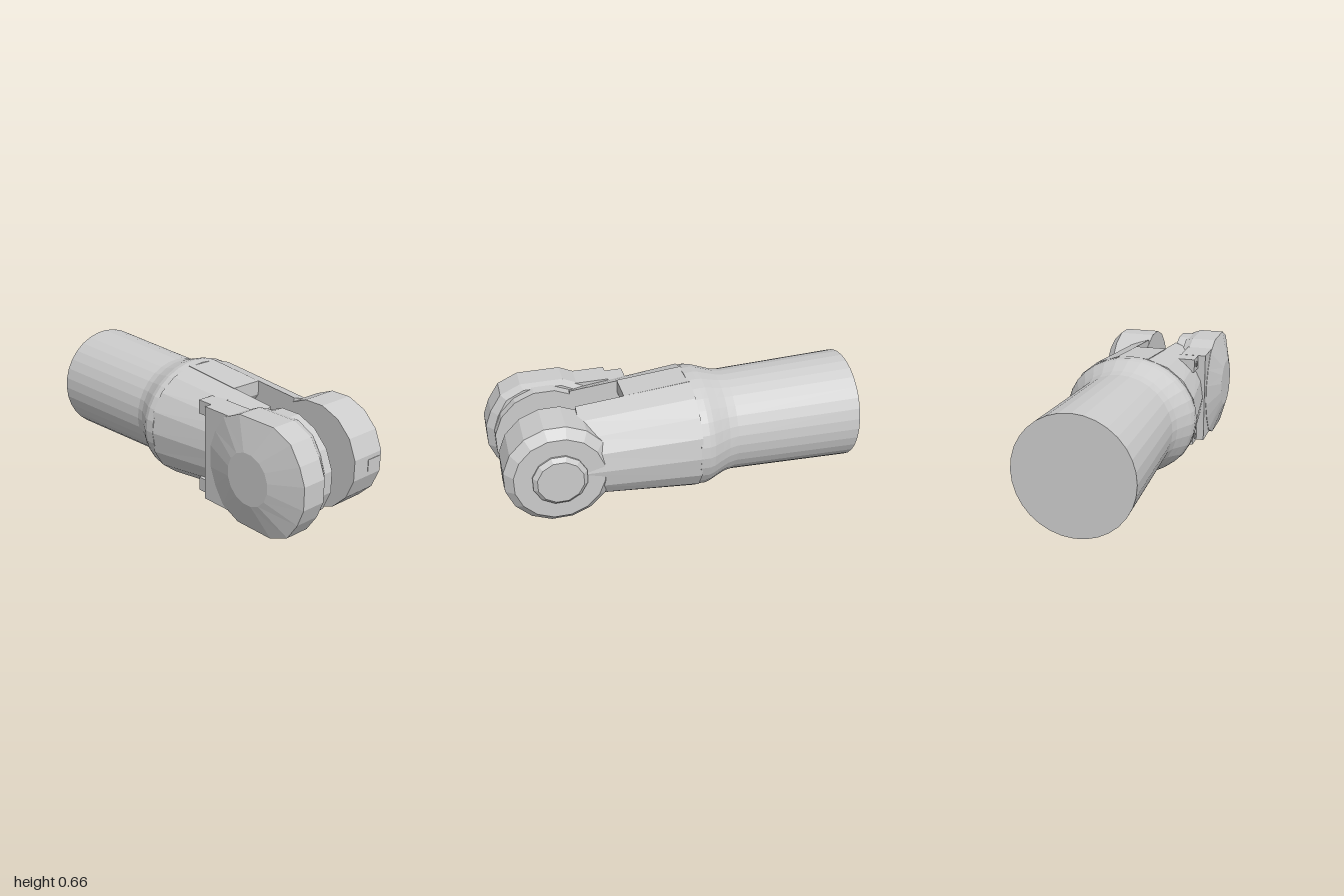
import * as THREE from 'three';

const CY = 0.333, CZ = -0.005;   // axis of the tube
const mat = new THREE.MeshStandardMaterial({ color: 0xcccccc, flatShading: true, side: THREE.DoubleSide });

// Closed solid through rings of equal point count, capped at both ends
function loft(rings) {
  const n = rings[0].length, pos = rings.flat(2), idx = [];
  for (let r = 0; r < rings.length - 1; r++) {
    for (let i = 0; i < n; i++) {
      const a = r * n + i, b = r * n + (i + 1) % n;
      idx.push(a, b, a + n, b, b + n, a + n);
    }
  }
  const last = (rings.length - 1) * n;
  for (let i = 1; i < n - 1; i++) {
    idx.push(0, i + 1, i);
    idx.push(last, last + i, last + i + 1);
  }
  // Turn the faces outward if the signed volume is negative
  const v = (i) => new THREE.Vector3().fromArray(pos, i * 3);
  let volume = 0;
  for (let i = 0; i < idx.length; i += 3) volume += v(idx[i]).dot(v(idx[i + 1]).cross(v(idx[i + 2])));
  if (volume < 0) idx.reverse();
  const g = new THREE.BufferGeometry();
  g.setAttribute('position', new THREE.Float32BufferAttribute(pos, 3));
  g.setIndex(idx);
  g.computeVertexNormals();
  return g;
}

// Faceted turned part on the z axis, from [radius, z] points
function turned(points, sides) {
  const profile = points.map(([r, z]) => new THREE.Vector2(r, z));
  return new THREE.LatheGeometry(profile, sides, Math.PI / sides).rotateX(Math.PI / 2);
}

export function createModel() {
  const model = new THREE.Group();
  const add = (name, geometry, x = 0, y = 0, z = 0) => {
    const mesh = new THREE.Mesh(geometry, mat);
    mesh.name = name;
    mesh.position.set(x, y, z);
    model.add(mesh);
    return mesh;
  };
  // Box given by its limits
  const addBox = (name, x0, x1, y0, y1, z0, z1) =>
    add(name, new THREE.BoxGeometry(x1 - x0, y1 - y0, z1 - z0), (x0 + x1) / 2, (y0 + y1) / 2, (z0 + z1) / 2);

  // Round tube with a flared collar: x, vertical radius, depth radius
  const tubeStations = [
    [-1, 0.307, 0.307], [-0.3, 0.285, 0.285], [-0.25, 0.292, 0.297], [-0.2, 0.307, 0.323],
    [-0.15, 0.323, 0.352], [-0.12, 0.328, 0.362], [-0.07, 0.324, 0.36],
  ];
  add('tube', loft(tubeStations.map(([x, ry, rz]) =>
    Array.from({ length: 32 }, (_, i) => {
      const a = (i / 32) * Math.PI * 2;
      return [x, CY + ry * Math.cos(a), CZ + rz * Math.sin(a)];
    }))));

  // Tapered fork halves, flat on the slot side
  function forkHalf(side, inner, endX, endDepth) {
    const rings = [0, 1].map((t) => {
      const x = THREE.MathUtils.lerp(-0.08, endX, t);
      const ry = THREE.MathUtils.lerp(0.325, 0.268, t);
      const rz = THREE.MathUtils.lerp(0.361, endDepth, t);
      const n = 2.15, start = Math.asin(Math.pow(inner / rz, n / 2));
      return Array.from({ length: 9 }, (_, i) => {
        const a = THREE.MathUtils.lerp(start, Math.PI - start, i / 8);
        const c = Math.cos(a);
        return [x,
          CY + 0.003 * t + Math.sign(c) * ry * Math.pow(Math.abs(c), 2 / n),
          CZ + side * rz * Math.pow(Math.sin(a), 2 / n)];
      });
    });
    return loft(rings);
  }
  add('rearForkBody', forkHalf(-1, 0.085, 0.54, 0.332));
  add('frontForkBody', forkHalf(1, 0.085, 0.54, 0.275));

  // Web between the halves, with a hollow end and an undercut below
  const web = new THREE.Shape([
    [-0.08, 0.653], [0.28, 0.62], [0.28, 0.545], [0.25, 0.5], [0.235, 0.455], [0.235, 0.38],
    [0.28, 0.29], [0.34, 0.22], [0.39, 0.175], [0.44, 0.14], [0.49, 0.115], [0.47, 0.09],
    [0, 0.09], [0, 0.018], [-0.08, 0.01],
  ].map(([x, y]) => new THREE.Vector2(x, y)));
  add('slotWeb', new THREE.ExtrudeGeometry(web, { depth: 0.175, bevelEnabled: false }), 0, 0, -0.09);

  // Rear knuckle with chamfered rim, hub and small key plate
  add('rearKnuckle', turned([[0, -0.336], [0.238, -0.336], [0.285, -0.29], [0.285, -0.088], [0, -0.088]], 16),
    0.675, 0.33, 0);
  add('rearHub', turned([[0, -0.366], [0.122, -0.366], [0.145, -0.345], [0.145, -0.32], [0, -0.32]], 12),
    0.675, 0.33, 0);
  addBox('keyPlate', 0.94, 0.957, 0.298, 0.362, -0.28, -0.192);

  // Front knuckle, its rounded cover and the dished face
  add('frontKnuckle', turned([[0, 0.08], [0.285, 0.08], [0.285, 0.15], [0, 0.15]], 16), 0.675, 0.33, 0);
  const quarter = [[0.32, 0.06], [0.285, 0.15], [0.225, 0.24], [0.115, 0.29]];
  const mirrored = quarter.slice().reverse().map(([x, y]) => [-x, y]);
  const half = [...quarter, ...mirrored];
  const outline = [...half, ...half.map(([x, y]) => [-x, -y])];
  const hub = outline.map((_, i) => {
    const a = ((i + 0.5) / 16) * Math.PI * 2;
    return [0.137 * Math.cos(a), 0.137 * Math.sin(a), 0.366];
  });
  const coverRing = (z, sx, sy) => outline.map(([x, y]) => [x * sx, y * sy, z]);
  add('frontCover', loft([
    coverRing(0.133, 0.875, 0.95), coverRing(0.178, 1, 1), coverRing(0.314, 1, 1), hub,
  ]), 0.675, 0.33, 0);
  addBox('coverPlate', 0.31, 0.6, 0.073, 0.586, 0.17, 0.312);

  // Fastening tabs with hexagonal screws
  for (const s of [-1, 1]) {
    const y = 0.33 + s * 0.218;
    addBox('fasteningTab', 0.215, 0.312, y - 0.037, y + 0.037, 0.12, 0.27);
    add('tabScrew', new THREE.CylinderGeometry(0.018, 0.018, 0.012, 6).rotateX(Math.PI / 2), 0.265, y, 0.268);
  }
  return model;
}
